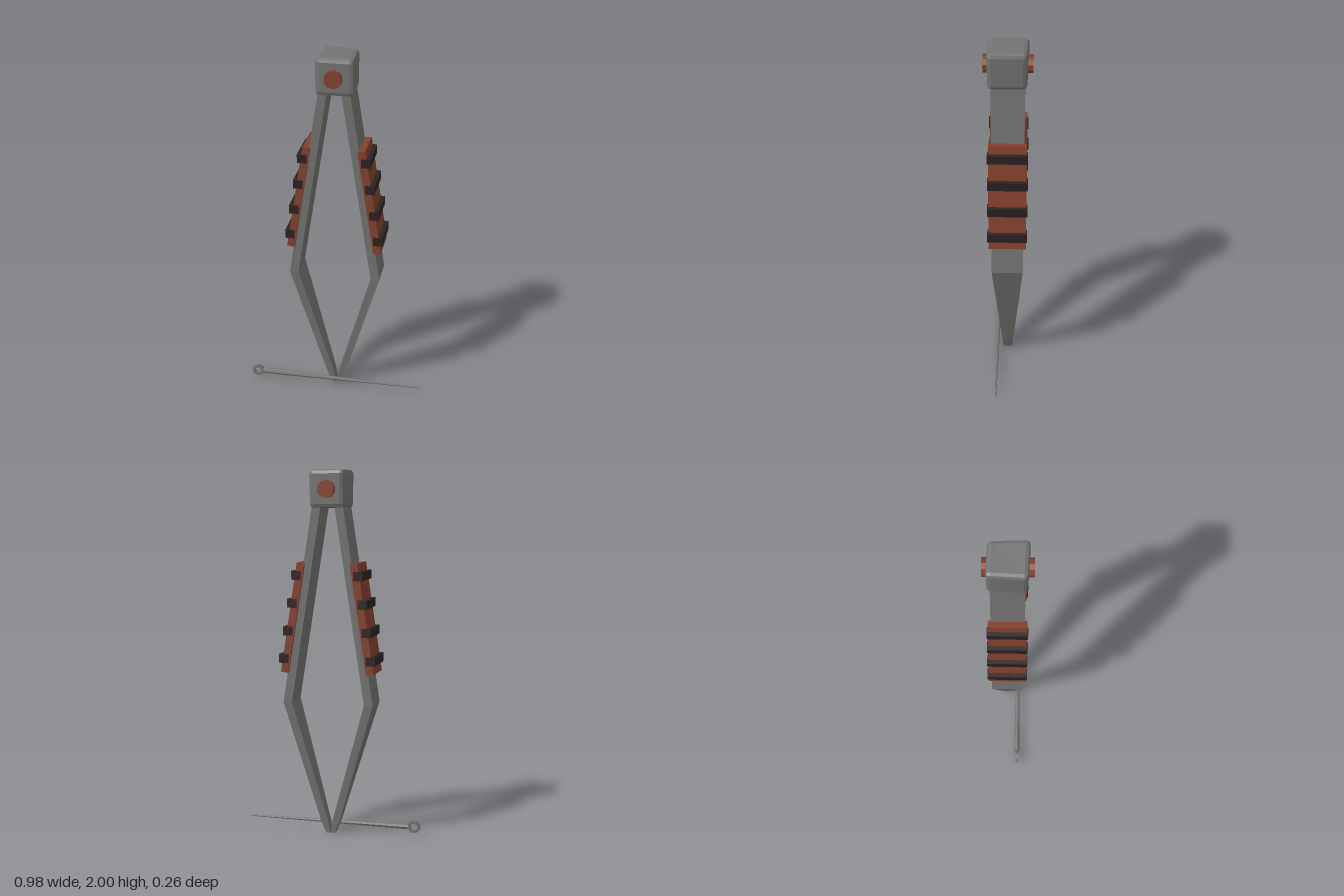
import * as THREE from 'three';
import { RoundedBoxGeometry } from 'three/addons/geometries/RoundedBoxGeometry.js';

const material = (name, color) => {
  const m = new THREE.MeshStandardMaterial({ color, flatShading: true });
  m.name = name;
  return m;
};

// Arm cross-sections from top to tip: [inner x, outer x, y, half depth]
const ARM_SECTIONS = [
  [0.031, 0.078, 1.85, 0.088],
  [0.202, 0.25, 0.735, 0.084],
  [0.014, 0.054, 0.075, 0.03],
  [0.001, 0.024, 0.0, 0.024],
];

// Four-sided bar lofted through the sections, mirrored by side
function armGeometry(side) {
  const pos = [], index = [];
  for (const [a, b, y, d] of ARM_SECTIONS) {
    pos.push(side * a, y, d, side * b, y, d, side * b, y, -d, side * a, y, -d);
  }
  const quad = (a, b, c, d) =>
    side > 0 ? index.push(a, b, c, a, c, d) : index.push(a, c, b, a, d, c);
  const last = (ARM_SECTIONS.length - 1) * 4;
  for (let s = 0; s < last; s += 4) {
    for (let i = 0; i < 4; i++) {
      const j = (i + 1) % 4;
      quad(s + i, s + 4 + i, s + 4 + j, s + j);
    }
  }
  quad(0, 1, 2, 3);
  quad(last + 3, last + 2, last + 1, last);
  const indexed = new THREE.BufferGeometry();
  indexed.setAttribute('position', new THREE.Float32BufferAttribute(pos, 3));
  indexed.setIndex(index);
  const g = indexed.toNonIndexed();
  g.computeVertexNormals();
  return g;
}

// Worn block with bevelled edges and slightly uneven corners
function headGeometry() {
  const g = new RoundedBoxGeometry(0.2, 0.205, 0.205, 1, 0.022);
  const p = g.attributes.position;
  for (let i = 0; i < p.count; i++) {
    const x = p.getX(i), y = p.getY(i), z = p.getZ(i);
    p.setXYZ(i,
      x * (1 + 0.35 * z) + 0.003,
      y + 0.25 * x * z,
      z * (1 + 0.2 * y) + 0.04 * x);
  }
  g.computeVertexNormals();
  return g;
}

export function createModel() {
  const model = new THREE.Group();
  model.name = 'tongs';
  const steel = material('steel', 0x737371);
  const copper = material('red brown', 0x84412f);
  const dark = material('dark band', 0x2c2221);

  const add = (name, geometry, mat, x, y, z, parent = model) => {
    const mesh = new THREE.Mesh(geometry, mat);
    mesh.name = name;
    mesh.position.set(x, y, z);
    parent.add(mesh);
    return mesh;
  };

  // Hinge block and its bolt, showing at front and back
  add('hingeBlock', headGeometry(), steel, 0, 1.894, 0);
  const bolt = new THREE.CylinderGeometry(0.048, 0.048, 0.258, 10).rotateX(Math.PI / 2);
  add('hingeBolt', bolt, copper, 0, 1.893, 0);

  for (const side of [1, -1]) {
    const arm = new THREE.Group();
    arm.name = side > 0 ? 'leftArm' : 'rightArm';
    model.add(arm);
    add('bar', armGeometry(side), steel, 0, 0, 0, arm);

    // Handle plate lying along the outer face of the bar
    const plate = add('gripPlate', new THREE.BoxGeometry(0.042, 0.602, 0.2), copper,
      side * 0.192, 1.2, 0, arm);
    plate.rotation.z = side * 0.153;

    // Level ribs across the plate
    for (let i = 0; i < 4; i++) {
      add('gripRib', new THREE.BoxGeometry(0.05, 0.048, 0.212), dark,
        side * (0.171 + i * 0.0235), 1.432 - i * 0.151, 0, arm);
    }
  }

  // Tapered pin with a ring at its end
  const pin = new THREE.Group();
  pin.name = 'pin';
  pin.position.set(0, 0.043, 0.06);
  model.add(pin);
  const shaft = new THREE.CylinderGeometry(0.004, 0.016, 0.91, 8).rotateZ(-Math.PI / 2);
  add('pinShaft', shaft, steel, 0.032, 0, 0, pin);
  const ring = new THREE.Shape().absarc(0, 0, 0.034, 0, Math.PI * 2);
  ring.holes.push(new THREE.Path().absarc(0, 0, 0.019, 0, Math.PI * 2, true));
  const ringGeometry = new THREE.ExtrudeGeometry(ring,
    { depth: 0.015, bevelEnabled: false, curveSegments: 10 });
  add('pinRing', ringGeometry, steel, -0.454, 0, -0.0075, pin);

  return model;
}
